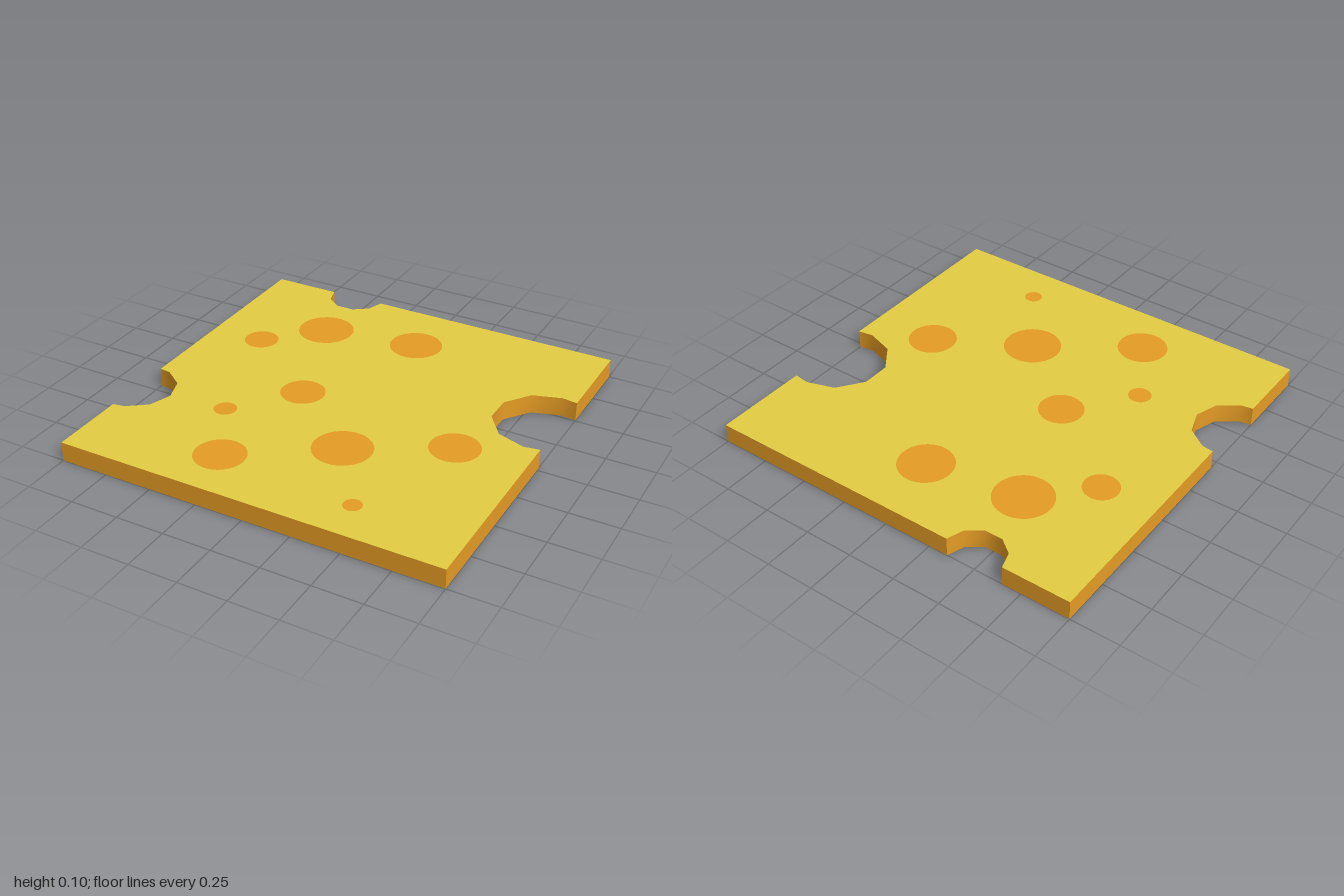
import * as THREE from 'three';

const HEIGHT = 0.1;

// Outline on the ground plane as runs of [x, z]; each run is one smooth wall.
const RUNS = [
  ['frontWall', [[-1, 1], [1, 1]]],
  ['leftWallFront', [[1, 1], [1, -0.025]]],
  ['leftBite', [[1, -0.025], [0.92, -0.012], [0.775, -0.06], [0.68, -0.19], [0.68, -0.34], [0.775, -0.47], [0.92, -0.516], [1, -0.505]]],
  ['leftWallBack', [[1, -0.505], [1, -1]]],
  ['backWallLeft', [[1, -1], [-0.35, -1]]],
  ['backBite', [[-0.35, -1], [-0.38, -0.915], [-0.455, -0.86], [-0.55, -0.86], [-0.625, -0.915], [-0.65, -1]]],
  ['backWallRight', [[-0.65, -1], [-1, -1]]],
  ['rightWallBack', [[-1, -1], [-1, 0.2]]],
  ['rightBite', [[-1, 0.2], [-0.94, 0.208], [-0.84, 0.28], [-0.8, 0.4], [-0.84, 0.517], [-0.94, 0.59], [-1, 0.6]]],
  ['rightWallFront', [[-1, 0.6], [-1, 1]]],
];

// Round spots: x, z, radius
const SPOTS = [
  [-0.463, -0.58, 0.148], [0.04, -0.656, 0.139], [-0.713, -0.32, 0.09],
  [-0.24, 0.05, 0.114], [0.643, 0.15, 0.126], [-0.493, 0.37, 0.058],
  [0.183, 0.405, 0.149], [-0.29, 0.725, 0.129], [0.444, 0.785, 0.046],
];

function circlePoints([x, z, r]) {
  return Array.from({ length: 40 }, (_, i) => {
    const a = (i / 40) * Math.PI * 2;
    return [x + r * Math.cos(a), z + r * Math.sin(a)];
  });
}

// Flat face from an outline; side is 1 for the top, -1 for the underside.
function flatFace(points, holes, side) {
  const toVectors = (list) => list.map(([x, z]) => new THREE.Vector2(x, -side * z));
  const shape = new THREE.Shape(toVectors(points));
  shape.holes = holes.map((hole) => new THREE.Path(toVectors(hole)));
  return new THREE.ShapeGeometry(shape)
    .rotateX((-side * Math.PI) / 2)
    .translate(0, side > 0 ? HEIGHT : 0, 0);
}

// Upright strip that follows a run of points.
function wall(points) {
  const n = points.length;
  const geometry = new THREE.PlaneGeometry(1, 1, n - 1, 1);
  const position = geometry.attributes.position;
  for (let i = 0; i < position.count; i++) {
    const [x, z] = points[i % n];
    position.setXYZ(i, x, i < n ? HEIGHT : 0, z);
  }
  geometry.computeVertexNormals();
  return geometry;
}

export function createModel() {
  const cheeseYellow = new THREE.MeshStandardMaterial({ color: 0xe3cc42 });
  cheeseYellow.name = 'cheese yellow';
  const rindOrange = new THREE.MeshStandardMaterial({ color: 0xe59c24 });
  rindOrange.name = 'rind orange';

  const model = new THREE.Group();
  model.name = 'cheeseSlice';
  const add = (name, geometry, material) => {
    const mesh = new THREE.Mesh(geometry, material);
    mesh.name = name;
    model.add(mesh);
  };

  // Edge walls and bites
  for (const [name, points] of RUNS) add(name, wall(points), rindOrange);

  // Faces with the spots set flush into them
  const outline = RUNS.flatMap(([, points]) => points.slice(0, -1));
  const circles = SPOTS.map(circlePoints);
  for (const [name, side] of [['top', 1], ['underside', -1]]) {
    add(`${name}Face`, flatFace(outline, circles, side), cheeseYellow);
    circles.forEach((circle, i) => add(`${name}Spot${i + 1}`, flatFace(circle, [], side), rindOrange));
  }
  return model;
}
